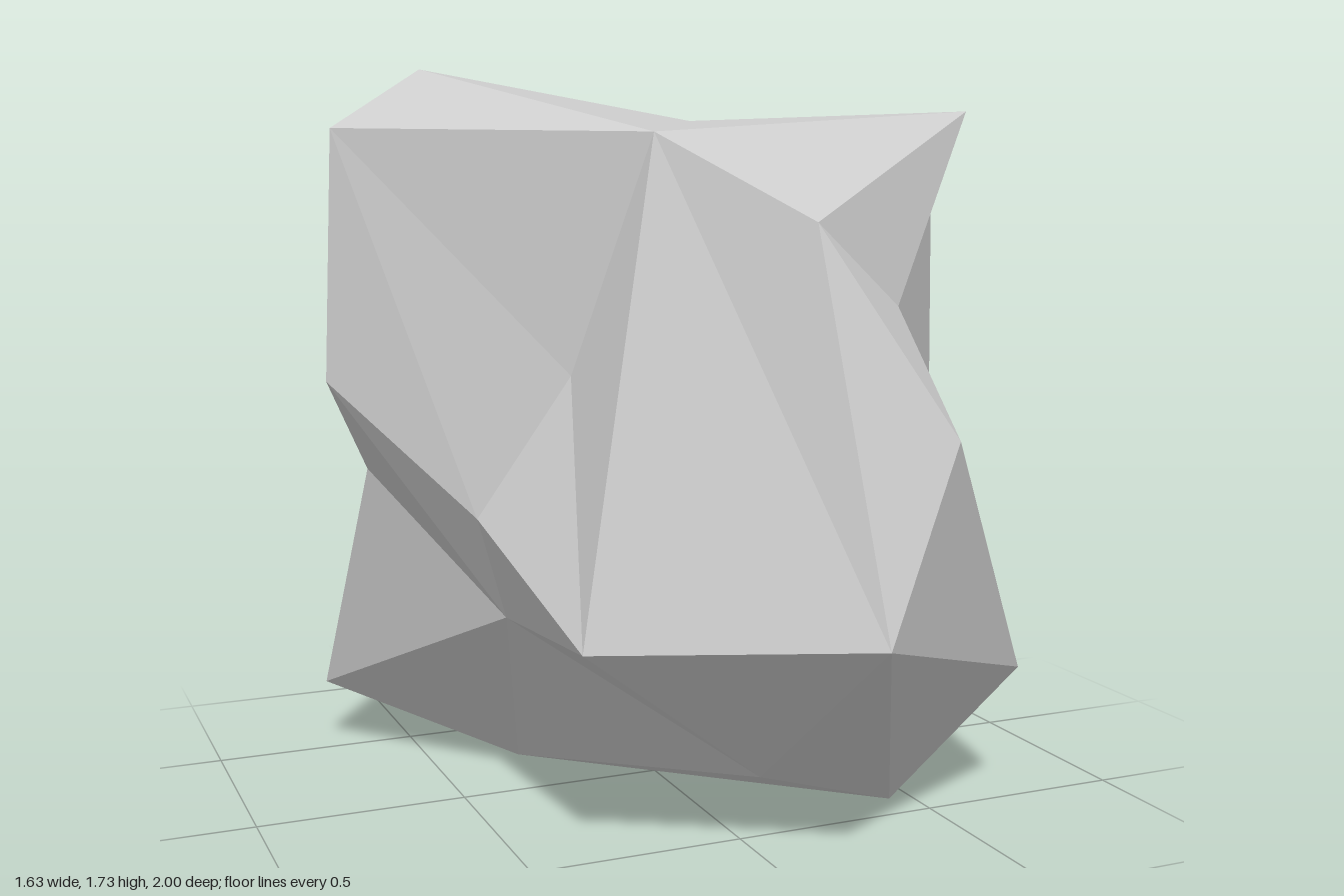
import * as THREE from 'three';

// Corners of the boulder, lettered by height: crown, shoulder, waist and foot
const corners = {
  // crown
  A: [-0.57, 1.73, -0.03], E: [-0.20, 1.585, 0.47], B: [0.26, 1.63, -0.38],
  W: [0.33, 1.555, -0.74], a: [-0.42, 1.64, -0.59],
  // shoulder
  D: [-0.80, 1.595, 0.065], R: [-0.35, 1.06, 0.36], O: [-0.435, 0.515, 0.65],
  J: [0.09, 0.555, 1.0], F: [0.04, 1.40, 0.76], C: [0.75, 1.645, 0.19],
  V: [0.54, 1.275, -0.68], X: [0.08, 1.335, -1.0], Z: [-0.60, 1.41, -0.76],
  // waist
  f: [-0.56, 0.86, -0.48], P: [-0.82, 1.035, 0.05], Q: [-0.54, 0.74, 0.27],
  S: [-0.44, 0.48, 0.16], T: [0.08, 0.115, 0.44], M: [0.43, 0.01, 0.43],
  L: [0.71, 0.335, 0.54], I: [0.28, 0.96, 0.935], G: [0.32, 1.21, 0.61],
  H: [0.81, 1.40, -0.06], K: [0.81, 0.64, -0.04], b: [0.78, 0.495, -0.36],
  c: [0.56, 0.29, -0.49], d: [0.28, 0.70, -0.69], Y: [0.05, 1.03, -0.99],
  // foot
  e: [-0.66, 0.78, -0.245], U: [-0.715, 0.17, -0.53], N: [-0.28, 0.0, -0.25],
  h: [0.10, 0.21, -0.38], g: [-0.17, 0.615, -0.63],
};

// Closed loops joined pairwise from top to bottom; a repeated letter holds a corner in place
const bands = [
  ['AEEEEEEBBWWaaa', 'DDROJFCCVVXXZD'],
  ['DDDROOOJJJJFFCCVVVVVXZZ', 'fPQQQSTTMLIIGGHHbcdYYYf'],
  ['fPSSSTMMLbccccdYff', 'eeeUNNNccccNhggggU'],
];

// Small closed patches fanned around one hub corner: top, base, right side and two dents
const fans = [['B', 'AEBWa'], ['U', 'UghN'], ['K', 'GLbH'], ['Q', 'QPS'], ['G', 'GIL']];

function buildRock() {
  const positions = [];
  const facet = (p, q, r) => {
    if (p === q || q === r || r === p) return; // held corners make no facet
    for (const k of [p, q, r]) positions.push(...corners[k]);
  };
  const loft = (upper, lower) => {
    for (let i = 0; i < lower.length; i++) {
      const j = (i + 1) % lower.length;
      facet(upper[i], lower[i], lower[j]);
      facet(upper[i], lower[j], upper[j]);
    }
  };
  for (const [upper, lower] of bands) loft(upper, lower);
  for (const [hub, rim] of fans) loft(hub.repeat(rim.length), rim);

  const geometry = new THREE.BufferGeometry();
  geometry.setAttribute('position', new THREE.Float32BufferAttribute(positions, 3));
  geometry.computeVertexNormals();
  return geometry;
}

export function createModel() {
  const group = new THREE.Group();
  group.name = 'boulder';
  const material = new THREE.MeshStandardMaterial({ color: 0xcccccc, flatShading: true });
  const rock = new THREE.Mesh(buildRock(), material);
  rock.name = 'rock';
  group.add(rock);
  return group;
}
